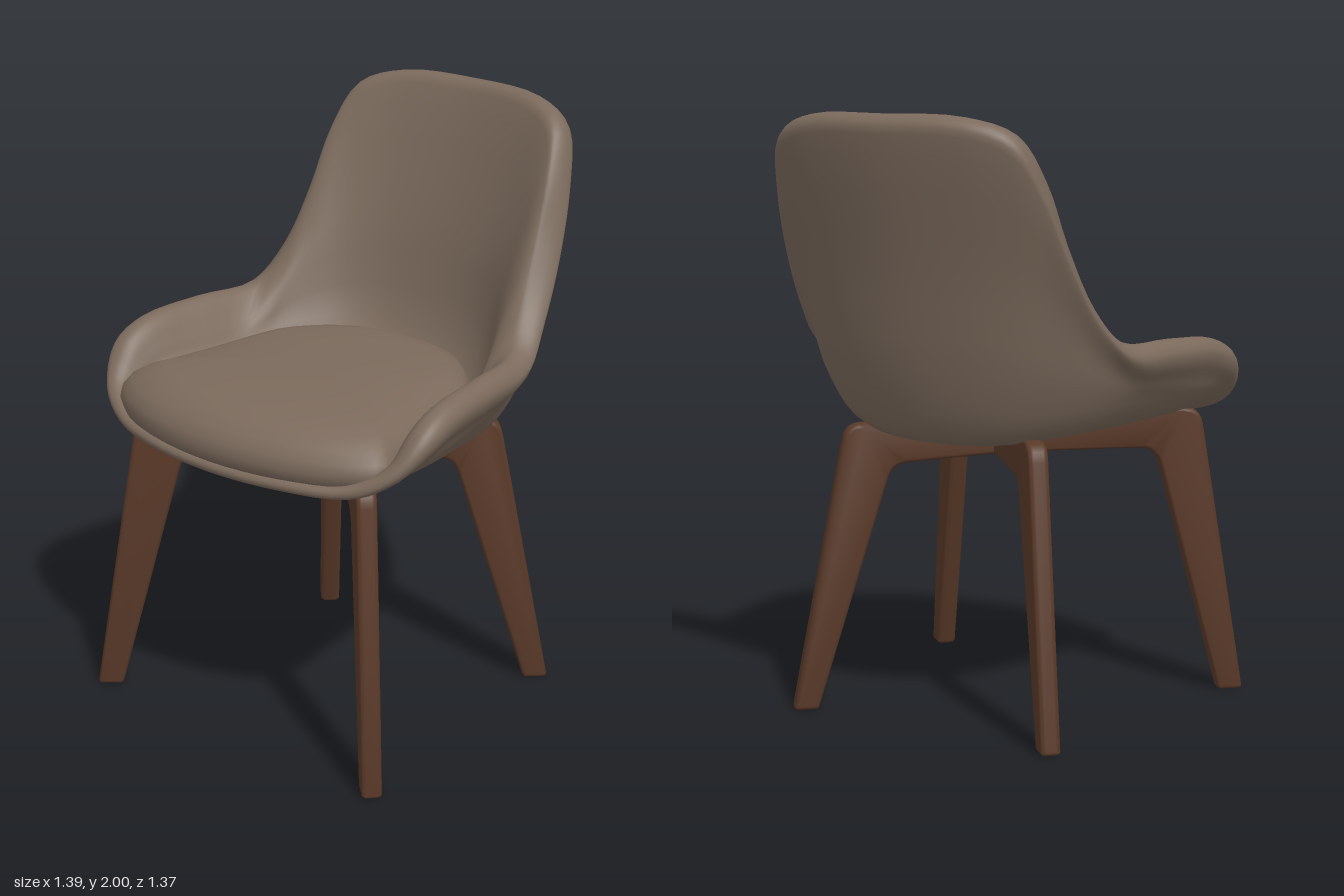
import * as THREE from 'three';
import { mergeVertices, toCreasedNormals } from 'three/addons/utils/BufferGeometryUtils.js';

const V = (x, y, z) => new THREE.Vector3(x, y, z);
const AROUND = 104;

// Smooth closed loop from half an outline running back centre -> left side -> front centre
function mirroredLoop(half) {
  const other = half.slice(1, -1).reverse().map((p) => V(-p.x, p.y, p.z));
  const curve = new THREE.CatmullRomCurve3([...half, ...other], true);
  return Array.from({ length: AROUND }, (_, i) => curve.getPoint(i / AROUND));
}

// Skin over columns; each column runs from the underside centre, out and over, to the top centre
function skin(columns) {
  const n = columns.length, m = columns[0].length, pos = [], index = [];
  columns.forEach((c) => c.forEach((p) => pos.push(p.x, p.y, p.z)));
  for (let u = 0; u < n; u++) {
    for (let v = 0; v < m - 1; v++) {
      const a = u * m + v, b = ((u + 1) % n) * m + v;
      if (v > 0) index.push(a, a + 1, b);
      if (v < m - 2) index.push(a + 1, b + 1, b);
    }
  }
  let geo = new THREE.BufferGeometry();
  geo.setAttribute('position', new THREE.Float32BufferAttribute(pos, 3));
  geo.setIndex(index);
  geo = mergeVertices(geo, 1e-5);
  geo.computeVertexNormals();
  return geo;
}

// Stations from back centre to front centre: edge of the shell, its lower bulge, its inner foot
const EDGE = [
  [0, 1.952, -0.64], [0.28, 1.945, -0.605], [0.425, 1.89, -0.545], [0.485, 1.75, -0.47],
  [0.517, 1.55, -0.38], [0.548, 1.35, -0.26], [0.585, 1.24, -0.14], [0.62, 1.22, 0.08],
  [0.642, 1.2, 0.3], [0.64, 1.15, 0.41], [0.595, 1.06, 0.495], [0.49, 1.0, 0.565],
  [0.28, 0.99, 0.635], [0, 0.985, 0.66],
];
const BULGE = [
  [0, 1.1, -0.47], [0.18, 1.1, -0.45], [0.31, 1.1, -0.405], [0.42, 1.1, -0.33],
  [0.5, 1.1, -0.24], [0.545, 1.1, -0.15], [0.575, 1.1, -0.04], [0.6, 1.09, 0.11],
  [0.62, 1.07, 0.29], [0.61, 1.05, 0.39], [0.555, 1.0, 0.47], [0.46, 0.97, 0.535],
  [0.26, 0.96, 0.595], [0, 0.958, 0.615],
];
const INNER = [
  [0, 1.1, -0.335], [0.14, 1.1, -0.32], [0.26, 1.1, -0.265], [0.355, 1.1, -0.18],
  [0.415, 1.1, -0.1], [0.442, 1.1, -0.03], [0.463, 1.1, 0.05], [0.49, 1.1, 0.17],
  [0.525, 1.1, 0.31], [0.54, 1.08, 0.38], [0.54, 1.04, 0.45], [0.44, 1.0, 0.52],
  [0.26, 0.99, 0.575], [0, 0.99, 0.6],
];
const RADIUS = [0.048, 0.048, 0.05, 0.05, 0.05, 0.048, 0.048, 0.052, 0.052, 0.05, 0.035, 0.022, 0.02, 0.02];

function shellGeometry() {
  const [edge, bulge, inner] = [EDGE, BULGE, INNER].map((t) => mirroredLoop(t.map((p) => V(...p))));
  const radius = mirroredLoop(RADIUS.map((r, i) => V(EDGE[i][0], r, EDGE[i][2])));
  return skin(edge.map((R, i) => {
    const L = bulge[i], I = inner[i], r = radius[i].y;
    // frame of the rounded edge: d points out of the edge, n towards the sitter
    const d = R.clone().sub(L.clone().lerp(I, 0.5)).normalize();
    const n = I.clone().sub(L);
    n.addScaledVector(d, -n.dot(d)).normalize();
    const at = (a, b) => R.clone().addScaledVector(n, a * r).addScaledVector(d, b * r);
    const low = V(L.x * 0.83, 0, 0.1 + (L.z - 0.1) * 0.83);
    low.y = Math.min(0.94 + 0.2 * low.x * low.x, L.y - 0.004);
    const profile = [
      V(0, 0.955, 0.1), low, L, L.clone().lerp(at(-1, 0), 0.5), at(-1, 0), at(-0.7, 0.7),
      at(0, 1), at(0.7, 0.7), at(1, 0), I.clone().lerp(at(1, 0), 0.5), I, V(0, 0.99, 0.1),
    ];
    return new THREE.CatmullRomCurve3(profile).getPoints(44);
  }));
}

function cushionGeometry() {
  const back = INNER.slice(0, 9).map(([x, , z]) => V(x * 1.03, 0, 0.15 + (z - 0.15) * 1.03));
  const front = [[0.56, 0.4], [0.575, 0.49], [0.48, 0.575], [0.28, 0.655], [0, 0.688]];
  // [scale of the outline, height at the front, height at the back]
  const profile = [[0, 1, 1], [0.6, 1, 1], [0.955, 1, 1.002], [0.985, 1.015, 1.02], [1, 1.05, 1.08],
    [0.985, 1.085, 1.125], [0.94, 1.12, 1.16], [0.86, 1.15, 1.178], [0.76, 1.17, 1.187],
    [0.52, 1.19, 1.193], [0.25, 1.195, 1.195], [0, 1.195, 1.195]];
  return skin(mirroredLoop([...back, ...front.map(([x, z]) => V(x, 0, z))]).map((p) => {
    const t = THREE.MathUtils.smoothstep(p.z, -0.3, 0.45);
    return profile.map(([s, yFront, yBack]) =>
      V(p.x * s, THREE.MathUtils.lerp(yBack, yFront, t), 0.15 + (p.z - 0.15) * s));
  }));
}

// One leg with its half of the cross beam, drawn in (distance from centre, height)
function legGeometry({ corner, cornerY, shoulder, topY, footIn, footOut }) {
  const s = new THREE.Shape();
  s.moveTo(-0.02, 0.85);
  s.lineTo(corner - 0.06, cornerY + 0.003);
  s.quadraticCurveTo(corner - 0.01, cornerY, corner + 0.005, cornerY - 0.05);
  s.lineTo(footIn, 0.015);
  s.quadraticCurveTo(footIn + 0.003, 0, footIn + 0.018, 0);
  s.lineTo(footOut - 0.018, 0);
  s.quadraticCurveTo(footOut, 0, footOut - 0.002, 0.015);
  s.lineTo(shoulder, topY - 0.06);
  s.quadraticCurveTo(shoulder - 0.01, topY, shoulder - 0.07, topY);
  s.lineTo(-0.02, 0.965);
  s.closePath();
  const geo = new THREE.ExtrudeGeometry(s, {
    depth: 0.032, bevelEnabled: true, bevelThickness: 0.017, bevelSize: 0.014,
    bevelOffset: -0.014, bevelSegments: 4, curveSegments: 6,
  });
  geo.translate(0, 0, -0.016);
  return toCreasedNormals(geo, 0.7);
}

export function createModel() {
  const fabric = new THREE.MeshStandardMaterial({ color: 0x7b6a5c });
  fabric.name = 'taupe fabric';
  const wood = new THREE.MeshStandardMaterial({ color: 0x5a3a29 });
  wood.name = 'dark wood';

  const model = new THREE.Group();
  model.name = 'chair';
  const add = (name, geo, mat, parent = model) => {
    const mesh = new THREE.Mesh(geo, mat);
    mesh.name = name;
    parent.add(mesh);
    return mesh;
  };

  // Upholstery
  add('seatShell', shellGeometry(), fabric);
  add('seatCushion', cushionGeometry(), fabric);

  // Crossed wooden base
  const base = new THREE.Group();
  base.name = 'legBase';
  base.position.z = 0.04;
  model.add(base);
  const frontLeg = legGeometry({ corner: 0.535, cornerY: 0.85, shoulder: 0.69, topY: 0.99, footIn: 0.75, footOut: 0.84 });
  const backLeg = legGeometry({ corner: 0.385, cornerY: 0.825, shoulder: 0.54, topY: 0.965, footIn: 0.625, footOut: 0.712 });
  for (const side of [1, -1]) {
    const name = side > 0 ? 'Left' : 'Right';
    add('frontLeg' + name, frontLeg, wood, base).rotation.y = Math.atan2(-0.53, side * 0.59);
    add('backLeg' + name, backLeg, wood, base).rotation.y = Math.atan2(0.47, side * 0.475);
  }
  return model;
}
